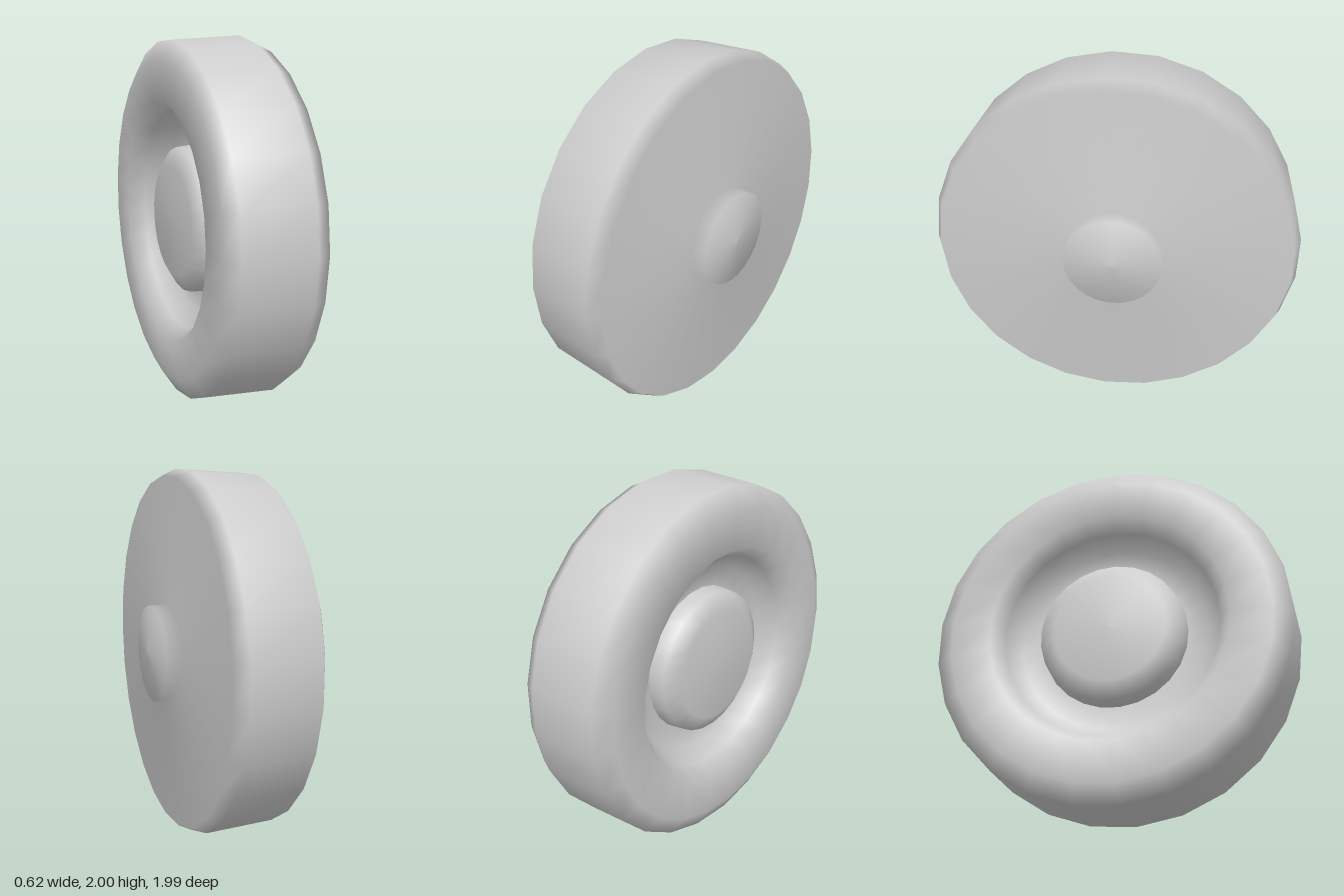
import * as THREE from 'three';

const SEGMENTS = 25;

export function createModel() {
  const group = new THREE.Group();
  group.name = 'wheel';

  const grey = new THREE.MeshStandardMaterial({ color: 0xcccccc });
  grey.name = 'light grey';

  // Turn a [radius, x] profile around the sideways axle
  const turned = (name, profile) => {
    const points = profile.map(([r, x]) => new THREE.Vector2(r, x));
    const geometry = new THREE.LatheGeometry(points, SEGMENTS);
    geometry.rotateZ(-Math.PI / 2);
    const mesh = new THREE.Mesh(geometry, grey);
    mesh.name = name;
    mesh.position.y = 1;
    group.add(mesh);
  };

  // Inner hub: rounded boss standing in the recess
  turned('innerHub', [
    [0, -0.26],
    [0.31, -0.255],
    [0.4, -0.2],
    [0.41, -0.11],
  ]);

  // Rim from the recess floor over the tread to the flat outer face and its domed cap
  turned('rimAndCap', [
    [0.41, -0.11],
    [0.53, -0.12],
    [0.6, -0.22],
    [0.66, -0.31],
    [0.88, -0.315],
    [0.98, -0.26],
    [1.0, 0.12],
    [0.965, 0.195],
    [0.267, 0.197],
    [0.267, 0.285],
    [0, 0.31],
  ]);

  return group;
}
